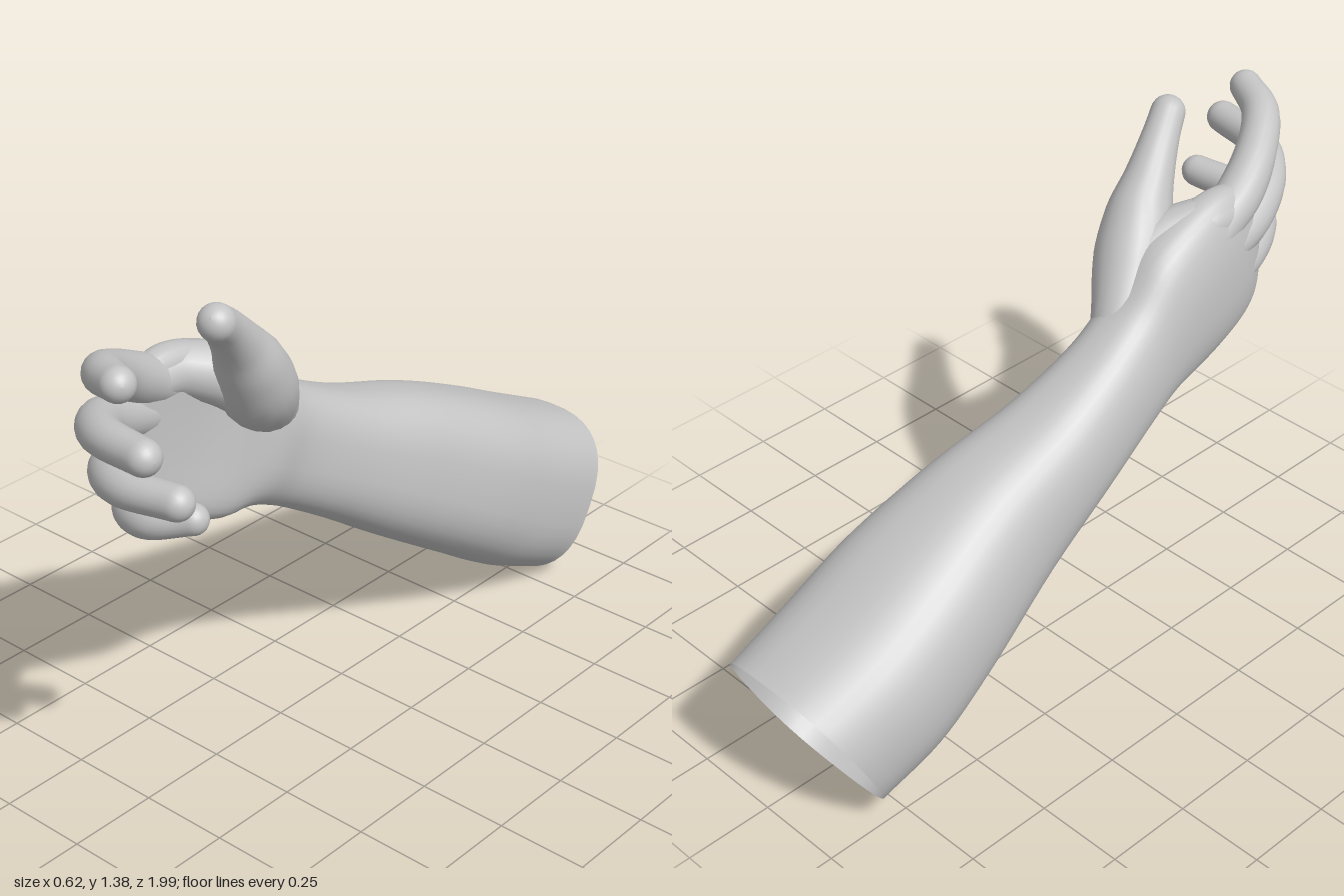
import * as THREE from 'three';

const V = (x, y, z) => new THREE.Vector3(x, y, z);

// Skin a list of closed rings into one smooth surface
function skin(rings) {
  const n = rings[0].length, pos = [], idx = [];
  rings.forEach(r => r.forEach(p => pos.push(p.x, p.y, p.z)));
  for (let i = 0; i < rings.length - 1; i++) {
    for (let j = 0; j < n; j++) {
      const a = i * n + j, b = i * n + (j + 1) % n;
      idx.push(a, b, b + n, a, b + n, a + n);
    }
  }
  const g = new THREE.BufferGeometry();
  g.setAttribute('position', new THREE.Float32BufferAttribute(pos, 3));
  g.setIndex(idx);
  g.computeVertexNormals();
  return g;
}

// Rounded cross-section, fuller on the +x side: top and bottom points in (z, y),
// x extents, hollow on the palm side
function section([tz, ty, bz, by, x0, x1, hollow = 0], sides = 40) {
  const ring = [];
  for (let j = 0; j < sides; j++) {
    const a = (j / sides) * Math.PI * 2, c = Math.cos(a), s = Math.sin(a);
    const e = c > 0 ? 0.76 : 0.88;
    const u = Math.sign(c) * Math.abs(c) ** e, v = Math.sign(s) * Math.abs(s) ** e;
    const dent = c > 0 ? hollow * c ** 3 : 0;
    ring.push(V((x0 + x1) / 2 + u * (x1 - x0) / 2 - dent,
      (ty + by) / 2 + v * (ty - by) / 2, (tz + bz) / 2 + v * (tz - bz) / 2));
  }
  return ring;
}

// Smooth loft through key sections, one spline per column
function limb(sections, steps) {
  const keys = sections.map(s => section(s));
  const columns = keys[0].map((_, j) =>
    new THREE.CatmullRomCurve3(keys.map(k => k[j]), false, 'centripetal'));
  const rings = [];
  for (let i = 0; i <= steps; i++) rings.push(columns.map(c => c.getPoint(i / steps)));
  return skin(rings);
}

// Tapered finger along a curved path, with a round tip
function digit(points, radii, steps = 30, sides = 20) {
  const path = new THREE.CatmullRomCurve3(points.map(p => V(...p)), false, 'centripetal');
  const profile = new THREE.SplineCurve(radii.map((r, i) => new THREE.Vector2(i, r)));
  const tipR = radii[radii.length - 1];
  const ringAt = (c, t, r) => {
    const u = V(0, 1, 0).addScaledVector(t, -t.y).normalize();
    const w = t.clone().cross(u);
    return Array.from({ length: sides }, (_, j) => {
      const a = (j / sides) * Math.PI * 2;
      return c.clone().addScaledVector(u, r * Math.cos(a)).addScaledVector(w, r * Math.sin(a));
    });
  };
  const rings = [];
  for (let i = 0; i <= steps; i++) {
    const k = i / steps;
    rings.push(ringAt(path.getPoint(k), path.getTangent(k), profile.getPoint(k).y));
  }
  const end = path.getPoint(1), dir = path.getTangent(1);
  for (let i = 1; i <= 8; i++) {
    const a = (i / 8) * Math.PI / 2;
    rings.push(ringAt(end.clone().addScaledVector(dir, tipR * Math.sin(a)), dir,
      Math.max(tipR * Math.cos(a), 0.0005)));
  }
  return skin(rings);
}

export function createModel() {
  const group = new THREE.Group();
  const grey = new THREE.MeshStandardMaterial({ color: 0xc4c4c4, side: THREE.DoubleSide });
  grey.name = 'plain grey';
  const add = (name, geometry) => {
    const mesh = new THREE.Mesh(geometry, grey);
    mesh.name = name;
    group.add(mesh);
  };

  // Forearm, open at the elbow, running through the wrist into the palm
  add('forearmAndPalm', limb([
    [-1.00, 0.44, -0.78, 0.00, -0.29, 0.19],
    [-0.80, 0.535, -0.60, 0.085, -0.31, 0.19],
    [-0.60, 0.635, -0.42, 0.20, -0.297, 0.18],
    [-0.35, 0.745, -0.15, 0.375, -0.25, 0.13],
    [-0.10, 0.83, 0.08, 0.53, -0.225, 0.078],
    [0.10, 0.925, 0.25, 0.63, -0.20, 0.05],
    [0.22, 1.00, 0.36, 0.675, -0.182, 0.055],
    [0.33, 1.11, 0.45, 0.685, -0.172, 0.065, 0.03],
    [0.45, 1.17, 0.56, 0.72, -0.16, 0.04, 0.04],
    [0.57, 1.20, 0.66, 0.765, -0.142, 0.015, 0.03],
    [0.66, 1.18, 0.71, 0.80, -0.12, 0.0, 0.02],
    [0.71, 1.12, 0.74, 0.85, -0.09, -0.02],
    [0.725, 1.00, 0.725, 0.99, -0.06, -0.055],
  ], 72));

  // Thumb, its fleshy mound rising out of the wrist
  add('thumb', digit([
    [-0.065, 0.83, 0.15], [-0.025, 0.935, 0.255], [0.035, 1.04, 0.355], [0.072, 1.135, 0.42],
    [0.095, 1.215, 0.48], [0.125, 1.29, 0.55], [0.152, 1.337, 0.608],
  ], [0.05, 0.082, 0.103, 0.09, 0.067, 0.052, 0.047]));

  // Fold of skin between thumb and index knuckle
  add('thumbWeb', digit([
    [0.03, 1.03, 0.34], [-0.015, 1.09, 0.44], [-0.06, 1.12, 0.53], [-0.065, 1.125, 0.6],
  ], [0.09, 0.08, 0.07, 0.06]));

  // Fingers curling toward the palm side
  const fingers = {
    indexFinger: [[[-0.08, 1.08, 0.52], [-0.06, 1.145, 0.66], [-0.018, 1.215, 0.775],
      [0.055, 1.275, 0.875], [0.153, 1.3, 0.925]], [0.062, 0.064, 0.057, 0.051, 0.044]],
    middleFinger: [[[-0.085, 1.02, 0.54], [-0.067, 1.06, 0.7], [-0.01, 1.115, 0.835],
      [0.09, 1.148, 0.92], [0.248, 1.16, 0.948]], [0.06, 0.061, 0.056, 0.05, 0.045]],
    ringFinger: [[[-0.085, 0.93, 0.54], [-0.065, 0.955, 0.69], [-0.005, 0.985, 0.815],
      [0.1, 1.005, 0.88], [0.263, 1.015, 0.865]], [0.058, 0.059, 0.054, 0.049, 0.044]],
    littleFinger: [[[-0.075, 0.84, 0.52], [-0.06, 0.845, 0.65], [0.0, 0.855, 0.755],
      [0.09, 0.87, 0.79], [0.193, 0.895, 0.747]], [0.055, 0.056, 0.05, 0.045, 0.04]],
  };
  for (const [name, [path, radii]] of Object.entries(fingers)) add(name, digit(path, radii));

  return group;
}
